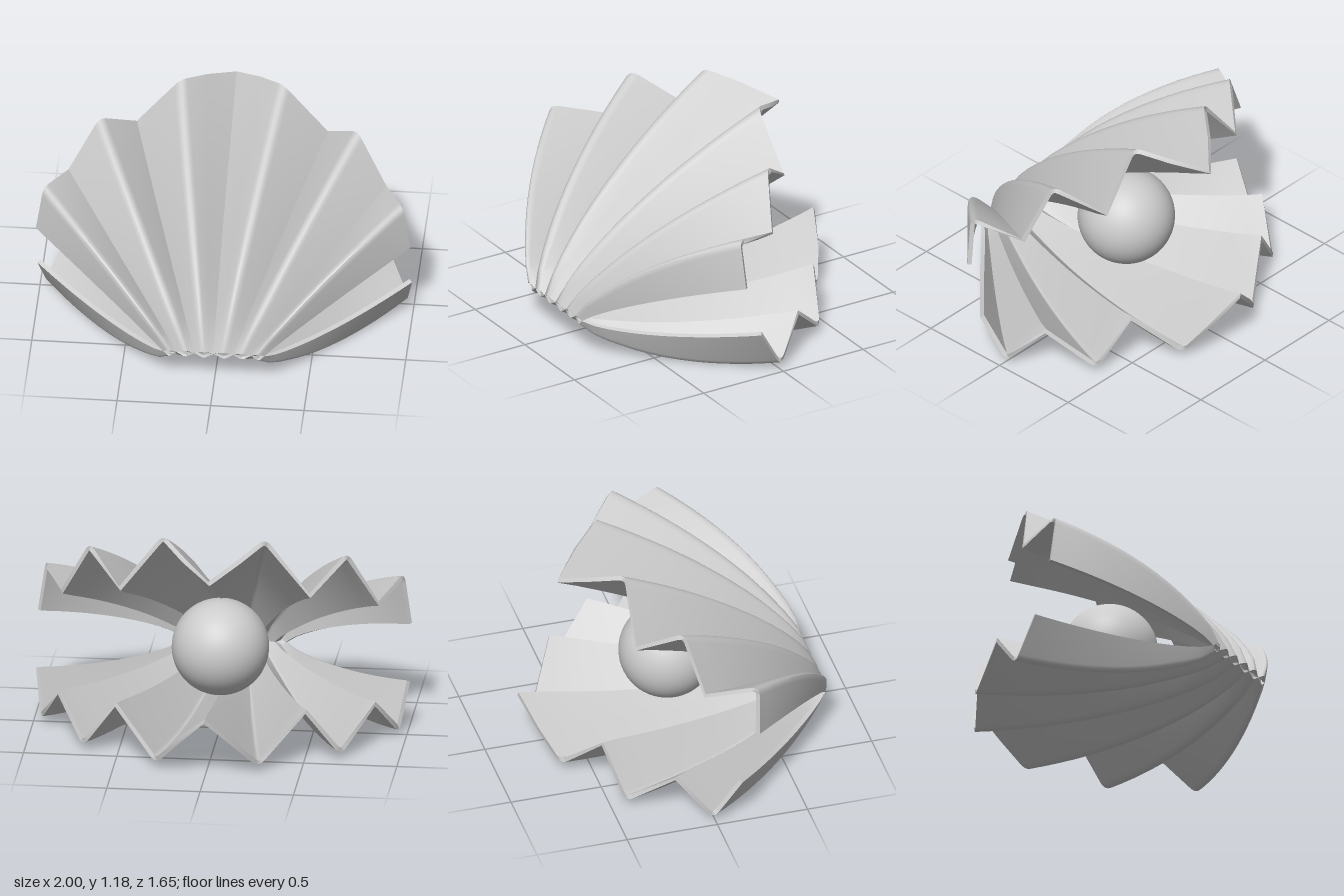
import * as THREE from 'three';
import { toCreasedNormals } from 'three/addons/utils/BufferGeometryUtils.js';

const STEPS = 14;        // divisions from hinge to rim
const THICK = 0.024;
const HINGE = { y: 0.205, z: 0.81 };

// Half of the fan, middle to side:
// hinge x, hinge outward, rim x, rim forward, rim outward, bulge, is it a rounded ridge
const RIBS = [
  [0.0, 0.0, 0.0, 1.63, -0.117, 0.08, false],
  [0.026, 0.016, 0.14, 1.56, 0.025, 0.1, false],
  [0.055, 0.032, 0.275, 1.47, 0.178, 0.12, true],
  [0.105, 0.0, 0.51, 1.31, -0.077, 0.065, false],
  [0.15, 0.032, 0.69, 1.23, 0.183, 0.11, true],
  [0.2, 0.0, 0.85, 1.0, -0.022, 0.06, false],
  [0.24, 0.032, 0.96, 0.82, 0.19, 0.112, true],
  [0.27, 0.0, 1.002, 0.67, -0.047, 0.047, false],
];

// Point on a rib in the valve's frame: x, forward from the hinge, outward
function ribPoint([hx, hh, rx, rf, rh, bulge], t) {
  const s = Math.pow(t, 0.75);
  return new THREE.Vector3(
    hx + (rx - hx) * t + 0.03 * rx * t * (1 - t),
    rf * t,
    hh + (rh - hh) * t + bulge * 4 * s * (1 - s));
}

// Cross-section at t: straight walls, rounded ridges, sharp valleys
function section(t) {
  const keys = RIBS.map(r => ribPoint(r, t));
  const half = [];
  keys.forEach((p, i) => {
    if (!RIBS[i][6]) { half.push(p); return; }
    const towards = q => {
      const len = p.distanceTo(q);
      return p.clone().lerp(q, Math.min(0.055, 0.4 * len) / len);
    };
    const curve = new THREE.QuadraticBezierCurve3(towards(keys[i - 1]), p, towards(keys[i + 1]));
    half.push(...curve.getPoints(5));
  });
  const mirrored = half.slice(1).reverse().map(p => new THREE.Vector3(-p.x, p.y, p.z));
  return [...mirrored, ...half];
}

// One pleated valve: side = 1 for the upper, -1 for the lower
function valveGeometry(side, tilt) {
  const c = Math.cos(tilt), s = Math.sin(tilt);
  const rows = [];
  for (let j = 0; j <= STEPS; j++) rows.push(section(j / STEPS));
  const n = rows[0].length, total = n * rows.length;
  const pos = [];
  rows.flat().forEach(p => pos.push(
    p.x,
    HINGE.y + p.y * s + side * p.z * c,
    HINGE.z - p.y * c + side * p.z * s));

  const index = [];
  const quad = (a, b, d, e) => (side > 0 ? index.push(a, b, d, a, d, e) : index.push(a, d, b, a, e, d));
  for (let j = 0; j < STEPS; j++)
    for (let i = 0; i < n - 1; i++) {
      const a = j * n + i;
      quad(a, a + 1, a + n + 1, a + n);
    }

  // Inner skin, offset along the outer normals
  const outer = new THREE.BufferGeometry();
  outer.setAttribute('position', new THREE.Float32BufferAttribute(pos, 3));
  outer.setIndex([...index]);
  outer.computeVertexNormals();
  const normals = outer.attributes.normal.array;
  for (let k = 0; k < total * 3; k++) {
    const t = Math.floor(k / (3 * n)) / STEPS;
    pos.push(pos[k] - normals[k] * THICK * Math.min(1, 0.6 + 2 * t));
  }
  const outerCount = index.length;
  for (let k = 0; k < outerCount; k += 3)
    index.push(index[k] + total, index[k + 2] + total, index[k + 1] + total);

  // Walls closing the hinge, the rim and the two sides
  const last = STEPS * n;
  for (let i = 0; i < n - 1; i++) {
    quad(i + 1, i, i + total, i + 1 + total);
    quad(last + i, last + i + 1, last + i + 1 + total, last + i + total);
  }
  for (let j = 0; j < STEPS; j++) {
    const a = j * n, b = a + n - 1;
    quad(a, a + n, a + n + total, a + total);
    quad(b + n, b, b + total, b + n + total);
  }
  const geometry = new THREE.BufferGeometry();
  geometry.setAttribute('position', new THREE.Float32BufferAttribute(pos, 3));
  geometry.setIndex(index);
  return toCreasedNormals(geometry, 0.6);
}

export function createModel() {
  const model = new THREE.Group();
  model.name = 'clamWithPearl';
  const material = new THREE.MeshStandardMaterial({ color: 0xcccccc, side: THREE.DoubleSide });
  const add = (name, geometry) => {
    const mesh = new THREE.Mesh(geometry, material);
    mesh.name = name;
    model.add(mesh);
    return mesh;
  };

  add('lowerShell', valveGeometry(-1, 0));
  add('upperShell', valveGeometry(1, THREE.MathUtils.degToRad(35)));
  add('pearl', new THREE.SphereGeometry(0.26, 48, 32)).position.set(0, 0.46, 0.01);
  return model;
}
